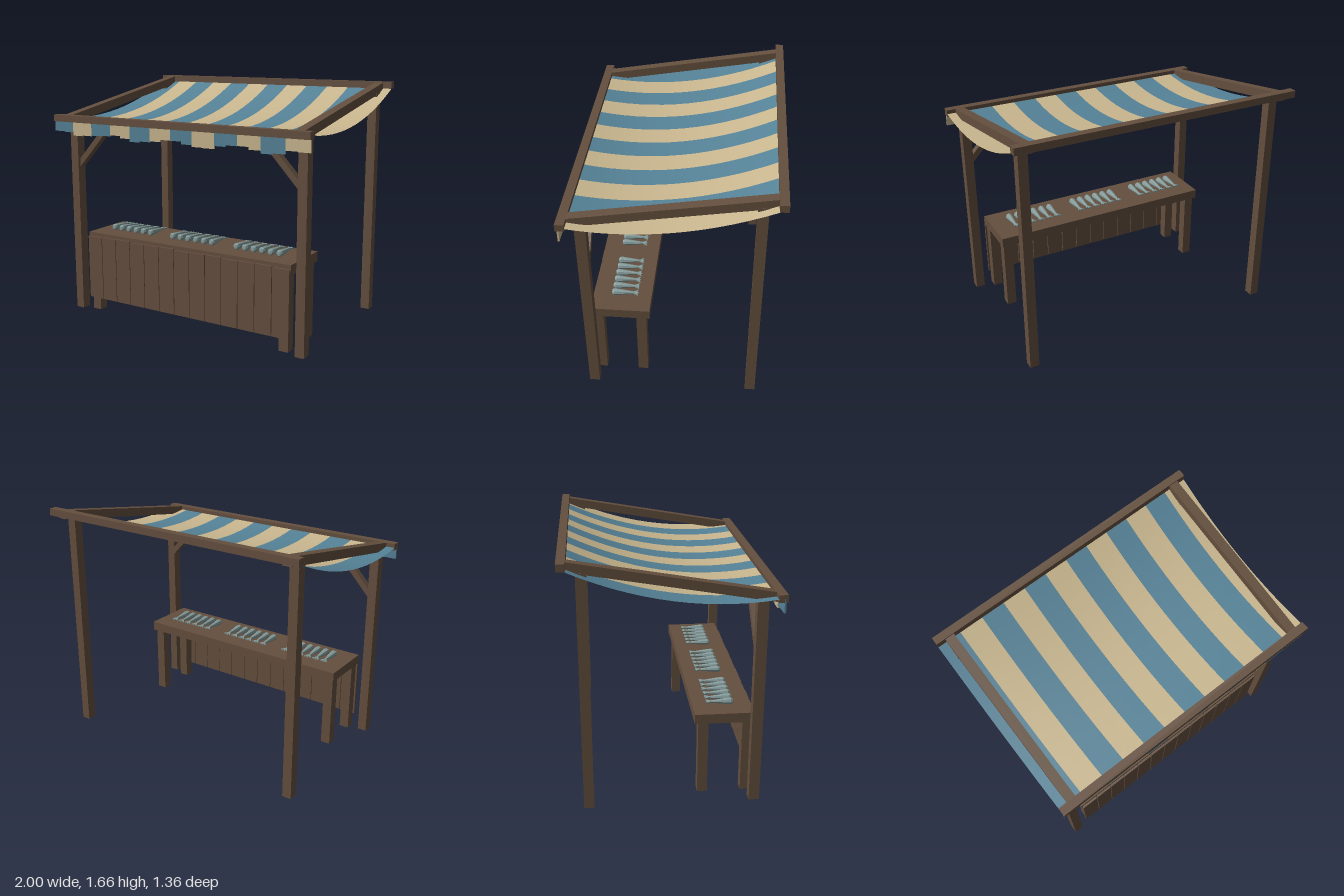
import * as THREE from 'three';
import { mergeGeometries } from 'three/addons/utils/BufferGeometryUtils.js';

export function createModel() {
  const root = new THREE.Group();
  root.name = 'marketStall';

  const material = (name, color, side = THREE.FrontSide) => {
    const m = new THREE.MeshStandardMaterial({ color, side });
    m.name = name;
    return m;
  };
  const wood = material('brown wood', 0x644f3e);
  const blue = material('blue cloth', 0x558297, THREE.DoubleSide);
  const cream = material('cream cloth', 0xc8b68e, THREE.DoubleSide);
  const silver = material('silver fish', 0x839a99);

  const add = (name, geometry, mat, parent = root) => {
    const mesh = new THREE.Mesh(geometry, mat);
    mesh.name = name;
    parent.add(mesh);
    return mesh;
  };
  // Box given by its extents on each axis
  const box = (name, [x0, x1], [y0, y1], [z0, z1], mat = wood, parent = root) =>
    add(name, new THREE.BoxGeometry(x1 - x0, y1 - y0, z1 - z0)
      .translate((x0 + x1) / 2, (y0 + y1) / 2, (z0 + z1) / 2), mat, parent);

  // Cross beams
  box('frontBeam', [-1, 1], [1.393, 1.44], [0.622, 0.68]);
  box('backBeam', [-1, 1], [1.616, 1.664], [-0.68, -0.625]);

  // Posts, sloping rafters and corner braces, mirrored
  for (const s of [-1, 1]) {
    const x = [s * 0.908 - 0.032, s * 0.908 + 0.032];
    box('frontPost', x, [0, 1.4], [0.51, 0.58]);
    box('backPost', x, [0, 1.59], [-0.572, -0.505]);

    const dz = 1.295, dy = 0.225;
    const rafter = add('rafter', new THREE.BoxGeometry(0.064, 0.06, Math.hypot(dz, dy)), wood);
    rafter.position.set(s * 0.906, 1.518, -0.003);
    rafter.rotation.x = Math.atan2(dy, dz);

    const bx = -0.29, by = 0.31;
    const brace = add('cornerBrace', new THREE.BoxGeometry(0.04, Math.hypot(bx, by), 0.05), wood);
    brace.position.set(s * 0.75, 1.225, 0.535);
    brace.rotation.z = -s * Math.atan2(bx, by);
  }

  // Sagging striped canopy
  const clothPoint = (x, t) => [
    x,
    1.415 + 0.205 * t - 4 * (0.102 + 0.007 * Math.cos(x * Math.PI)) * t * (1 - t),
    0.64 - 1.28 * t,
  ];
  const stripes = 12, w = 2 / stripes;
  const canopy = [[], []];
  for (let i = 0; i < stripes; i++) {
    const g = new THREE.PlaneGeometry(w, 1, 2, 14).translate(-1 + (i + 0.5) * w, 0, 0);
    const p = g.attributes.position;
    for (let k = 0; k < p.count; k++) p.setXYZ(k, ...clothPoint(p.getX(k), p.getY(k) + 0.5));
    g.computeVertexNormals();
    canopy[i % 2].push(g);
  }
  add('blueCanopyStripes', mergeGeometries(canopy[0]), blue);
  add('creamCanopyStripes', mergeGeometries(canopy[1]), cream);

  // Ragged valance hanging from the front beam, two strips per stripe
  const hems = [1.325, 1.322, 1.3, 1.305, 1.31, 1.315, 1.323, 1.308, 1.29, 1.298, 1.305, 1.32,
    1.32, 1.303, 1.292, 1.29, 1.31, 1.32, 1.322, 1.305, 1.288, 1.295, 1.318, 1.315];
  const valance = new THREE.Group();
  valance.name = 'valance';
  root.add(valance);
  hems.forEach((hem, i) => {
    const x = -1 + i * w / 2;
    box('valanceStrip', [x, x + w / 2], [hem, 1.415], [0.657, 0.668],
      Math.floor(i / 2) % 2 ? cream : blue, valance);
  });

  // Counter: top, legs and front planks
  const counter = new THREE.Group();
  counter.name = 'counter';
  root.add(counter);
  box('counterTop', [-0.825, 0.822], [0.516, 0.583], [0.16, 0.547], wood, counter);
  for (const s of [-1, 1]) {
    const x = [s * 0.775 - 0.034, s * 0.775 + 0.034];
    box('counterFrontLeg', x, [0, 0.52], [0.475, 0.543], wood, counter);
    box('counterBackLeg', x, [0, 0.52], [0.184, 0.252], wood, counter);
  }
  const planks = 13, pitch = 1.645 / planks;
  for (let i = 0; i < planks; i++) {
    const x = -0.822 + i * pitch;
    box('frontPlank', [x + 0.002, x + pitch - 0.003], [0.095, 0.555 + 0.003 * (i % 3)],
      [0.545, 0.563], wood, counter);
  }

  // Fish: tapered body along z with a flared flat tail
  const profile = [[0, 0], [0.006, 0], [0.007, 0.02], [0.014, 0.075], [0.021, 0.13],
    [0.024, 0.165], [0.016, 0.178], [0, 0.18]].map(([r, y]) => new THREE.Vector2(r, y));
  const body = new THREE.LatheGeometry(profile, 8).rotateX(Math.PI / 2).translate(0, 0.608, 0.25);
  const tailShape = new THREE.Shape([[-0.006, 0.035], [-0.027, 0], [0, 0.009], [0.027, 0], [0.006, 0.035]]
    .map(([x, y]) => new THREE.Vector2(x, y)));
  const tail = new THREE.ExtrudeGeometry(tailShape, { depth: 0.009, bevelEnabled: false })
    .rotateX(Math.PI / 2).translate(0, 0.613, 0.25);
  const fishGeometry = mergeGeometries([body.toNonIndexed(), tail]);
  fishGeometry.computeVertexNormals();
  for (const start of [-0.69, -0.172, 0.349]) {
    const row = new THREE.Group();
    row.name = 'fishRow';
    root.add(row);
    for (let i = 0; i < 6; i++) add('fish', fishGeometry, silver, row).position.x = start + i * 0.065;
  }

  return root;
}
